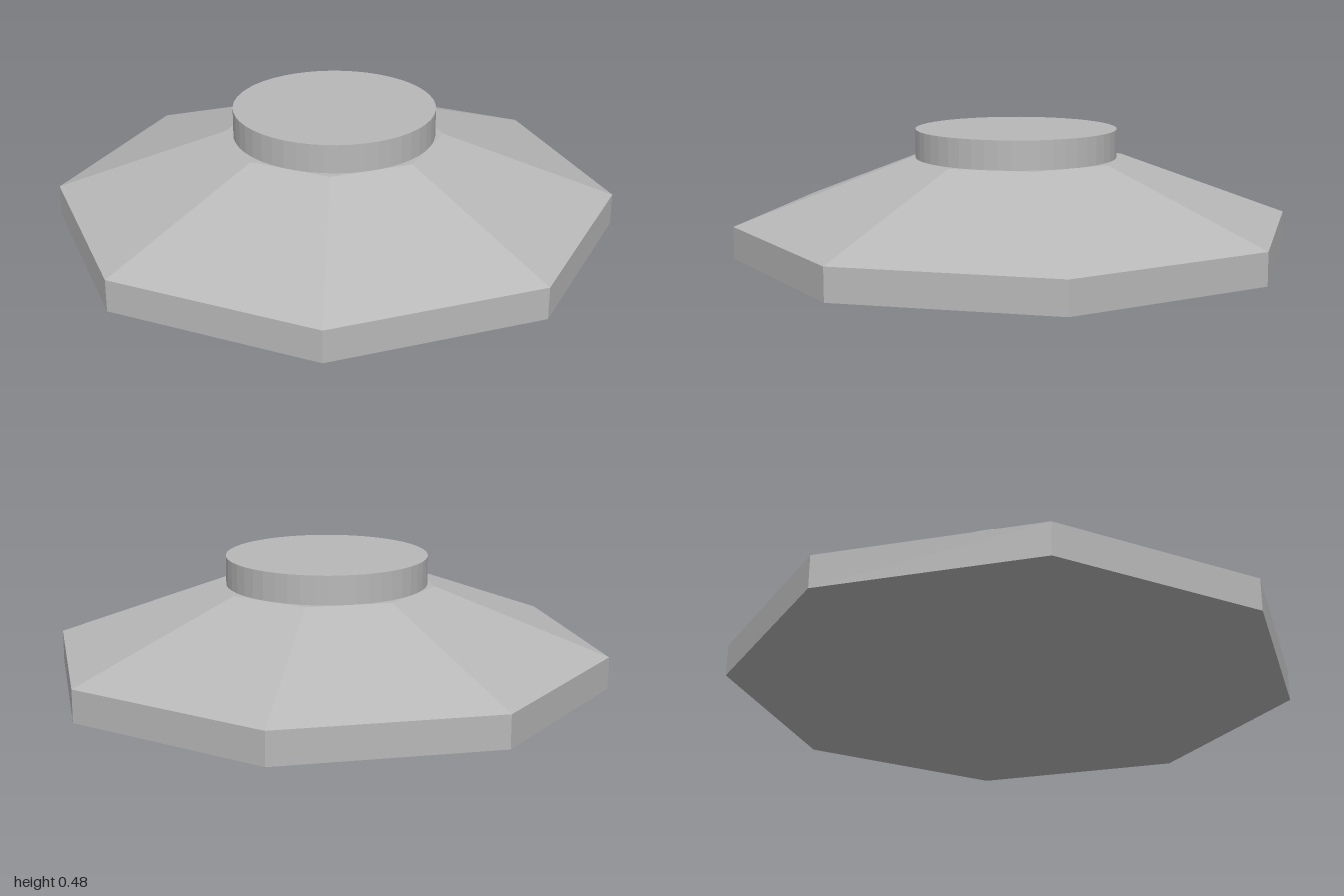
import * as THREE from 'three';

export function createModel() {
  const model = new THREE.Group();
  model.name = 'octagonalPedestal';
  const grey = new THREE.MeshStandardMaterial({ color: 0xb8b8b8, flatShading: true });
  grey.name = 'grey';

  // Upright prism or frustum whose flats lie at the given distances from the axis
  function addTier(name, topFlat, bottomFlat, y0, y1, sides, open = false) {
    const k = 1 / Math.cos(Math.PI / sides);
    const geometry = new THREE.CylinderGeometry(
      topFlat * k, bottomFlat * k, y1 - y0, sides, 1, open, Math.PI / sides);
    const mesh = new THREE.Mesh(geometry, grey);
    mesh.name = name;
    mesh.position.y = (y0 + y1) / 2;
    model.add(mesh);
  }

  // Octagonal slab, sloping shoulder and round cap
  addTier('baseSlab', 1, 1, 0, 0.123, 8);
  addTier('slopedShoulder', 0.387, 1, 0.123, 0.37, 8);
  addTier('roundCap', 0.387, 0.387, 0.37, 0.48, 48);

  return model;
}
